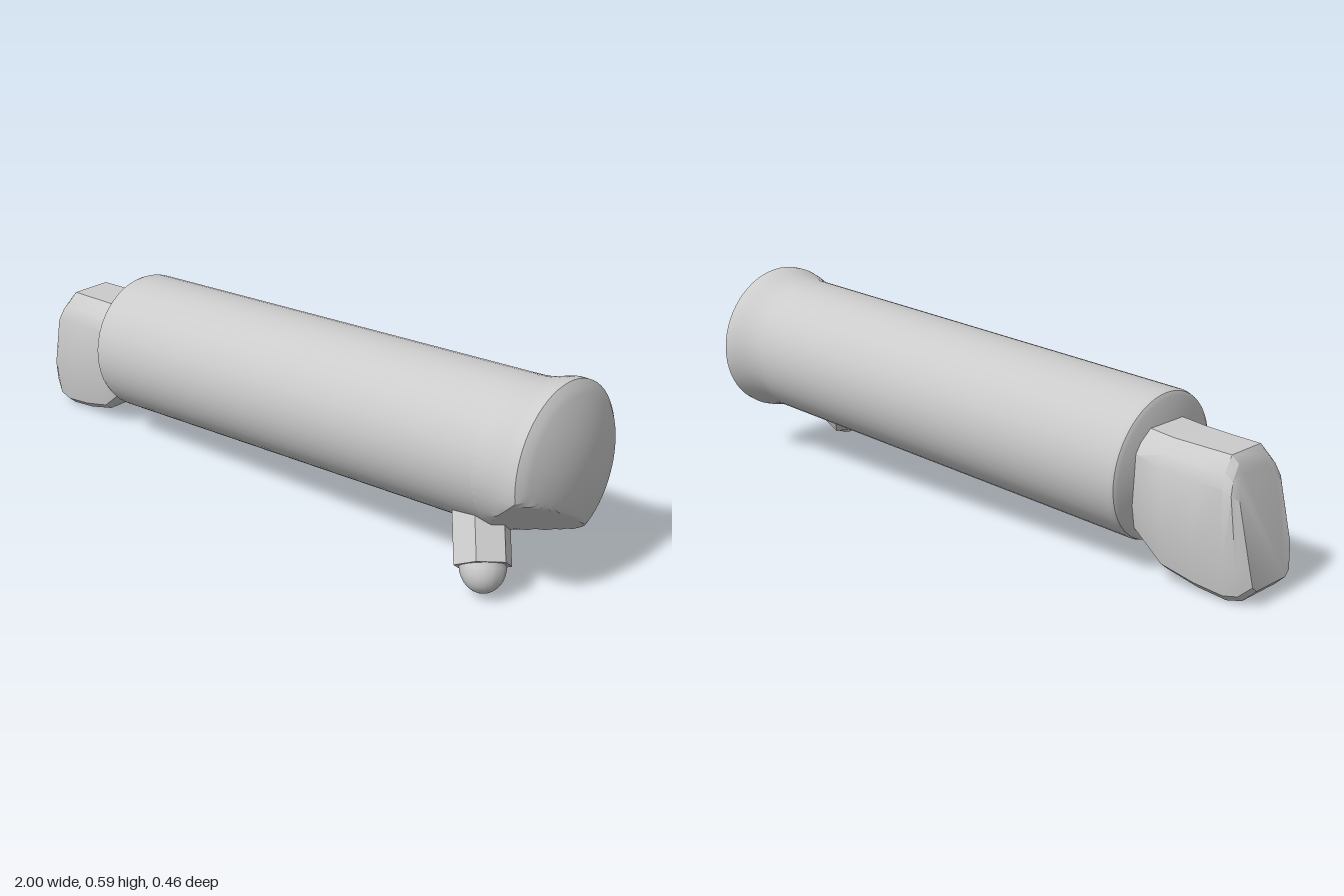
import * as THREE from 'three';
import { toCreasedNormals } from 'three/addons/utils/BufferGeometryUtils.js';

const material = new THREE.MeshStandardMaterial({ color: 0xcccccc });
const SLOPE = 0.052; // upward tilt of the barrel axis

function addMesh(group, name, geometry, crease = 0.6) {
  const mesh = new THREE.Mesh(toCreasedNormals(geometry, crease), material);
  mesh.name = name;
  group.add(mesh);
  return mesh;
}

// Lathe whose axis runs along the tilted barrel; points are [radius, distance along axis]
function axisLathe(points, sides) {
  const g = new THREE.LatheGeometry(points.map(([r, t]) => new THREE.Vector2(r, t)), sides);
  return g.rotateZ(-Math.PI / 2 + SLOPE).translate(-0.645, 0.28, 0);
}

// Closed solid skinned over rings of equal length, capped at both ends
function loft(rings) {
  const n = rings[0].length;
  const positions = rings.flat().flatMap((p) => p.toArray());
  const index = [];
  for (let i = 0; i < rings.length - 1; i++) {
    for (let j = 0; j < n; j++) {
      const a = i * n + j, b = i * n + (j + 1) % n;
      index.push(a, b, a + n, b, b + n, a + n);
    }
  }
  const last = (rings.length - 1) * n;
  for (let j = 1; j < n - 1; j++) {
    index.push(0, j + 1, j);
    index.push(last, last + j, last + j + 1);
  }
  const g = new THREE.BufferGeometry();
  g.setAttribute('position', new THREE.Float32BufferAttribute(positions, 3));
  g.setIndex(index);
  return g;
}

export function createModel() {
  const model = new THREE.Group();
  model.name = 'model';

  // Long barrel with a bevelled back rim
  addMesh(model, 'barrel', axisLathe(
    [[0, 0], [0.196, 0], [0.208, 0.008], [0.212, 0.02], [0.21, 1.46]], 48));

  // Flared head with a domed end
  const profile = [[0.21, 1.44], [0.21, 1.46], [0.212, 1.485], [0.218, 1.515], [0.226, 1.545], [0.23, 1.565], [0.229, 1.588]];
  for (let i = 1; i <= 14; i++) {
    const k = 1 - i / 14;
    profile.push([0.226 * k, 1.595 + 0.05 * (1 - k * k)]);
  }
  const head = axisLathe(profile, 60);

  // Slice a slanting flat off the lower front of the head
  const down = new THREE.Vector3(0.42, -0.78, 0.46).normalize();
  const cut = new THREE.Plane().setFromNormalAndCoplanarPoint(
    new THREE.Vector3(0.48, -0.75, 0.45).normalize(), new THREE.Vector3(0.955, 0.33, 0.21));
  const pos = head.attributes.position;
  const p = new THREE.Vector3();
  for (let i = 0; i < pos.count; i++) {
    p.fromBufferAttribute(pos, i);
    const d = cut.distanceToPoint(p);
    if (d > 0) {
      p.addScaledVector(cut.normal, -d);
      pos.setXYZ(i, p.x, p.y, p.z);
    }
  }
  addMesh(model, 'head', head, 0.5);

  // Hexagonal peg with a rounded tip, pointing down and forward
  const peg = new THREE.Group();
  peg.name = 'peg';
  const corner = new THREE.Vector3(0.07, 0.035, 0);
  corner.addScaledVector(down, -corner.dot(down)).normalize();
  const side = new THREE.Vector3().crossVectors(down, corner);
  peg.quaternion.setFromRotationMatrix(new THREE.Matrix4().makeBasis(side, down, corner));
  peg.position.set(0.81, 0.085, 0.16);
  addMesh(peg, 'pegShaft', new THREE.CylinderGeometry(0.08, 0.08, 0.17, 6).translate(0, -0.085, 0), 0.3);
  addMesh(peg, 'pegTip', new THREE.SphereGeometry(0.063, 16, 8, 0, Math.PI * 2, 0, Math.PI / 2)
    .scale(1, 1.15, 1), 0.9);
  model.add(peg);

  // Bent foot: slanted bevelled sections [bottom x, bottom y, top x, top y, half width]
  const sections = [
    [-0.6, 0.15, -0.6, 0.41, 0.125],
    [-0.65, 0.11, -0.66, 0.405, 0.127],
    [-0.73, 0.04, -0.73, 0.397, 0.127],
    [-0.83, 0.013, -0.82, 0.393, 0.12],
    [-0.92, 0.002, -0.905, 0.39, 0.117],
    [-0.965, 0.012, -0.925, 0.37, 0.112],
    [-1, 0.045, -0.935, 0.345, 0.095],
  ];
  const half = [[0.7, 0], [0.88, 0.05], [1, 0.28], [1, 0.8], [0.85, 0.9], [0.55, 1]];
  const outline = [...half, ...half.map(([u, v]) => [-u, v]).reverse()];
  const rings = sections.map(([xb, yb, xt, yt, w]) => outline.map(([u, v]) => new THREE.Vector3(
    xb + (xt - xb) * v - 0.012 * Math.sin(Math.PI * v) * (xt > xb ? 1 : 0),
    yb + (yt - yb) * v, u * w - 0.004)));
  for (const ring of rings) for (const q of ring) q.x = Math.max(q.x, -1);
  addMesh(model, 'foot', loft(rings), 0.55);

  return model;
}
